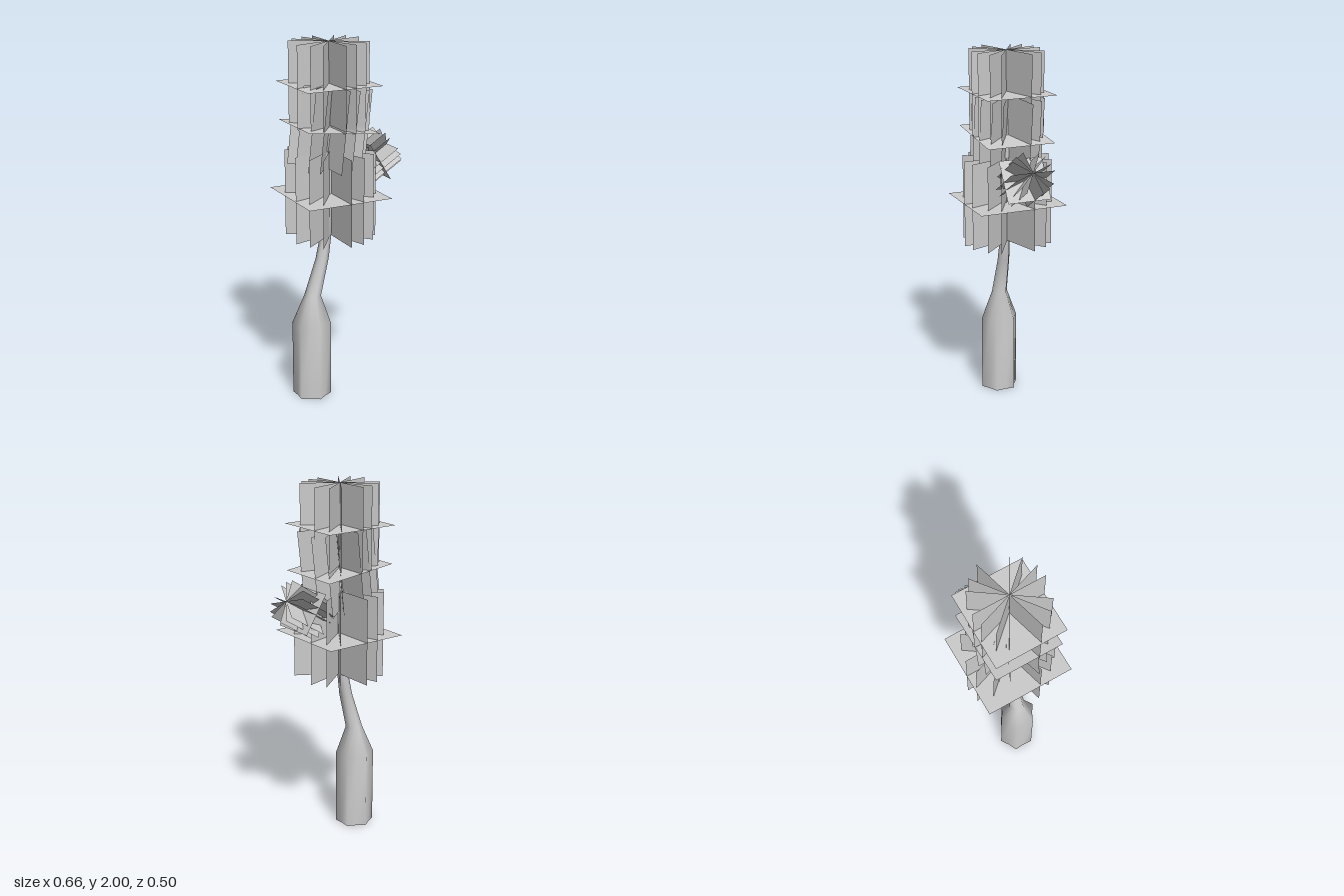
import * as THREE from 'three';

const bark = new THREE.MeshStandardMaterial({ color: 0xcccccc, side: THREE.DoubleSide });
const leaf = new THREE.MeshStandardMaterial({ color: 0xcccccc, side: THREE.DoubleSide });

// Open tube with a hexagonal, slightly fluted section; rings are [x, y, radius].
// tilt leans the rings about z, for limbs that run sideways.
function limb(name, rings, tilt = 0) {
  const sides = 12, pos = [], index = [];
  rings.forEach(([x, y, r], j) => {
    for (let i = 0; i < sides; i++) {
      const a = (i / sides) * Math.PI * 2 + Math.PI / 2;
      const rad = i % 2 ? r * 0.83 : r;
      const c = Math.cos(a) * rad;
      pos.push(x + c * Math.cos(tilt), y + c * Math.sin(tilt), Math.sin(a) * rad);
      if (j === 0) continue;
      const k = (i + 1) % sides, lo = (j - 1) * sides, hi = j * sides;
      index.push(lo + i, hi + i, lo + k, lo + k, hi + i, hi + k);
    }
  });
  const g = new THREE.BufferGeometry();
  g.setAttribute('position', new THREE.Float32BufferAttribute(pos, 3));
  g.setIndex(index);
  g.computeVertexNormals();
  const mesh = new THREE.Mesh(g, bark);
  mesh.name = name;
  return mesh;
}

// Foliage clump: a fan of upright cards around one axis, crossed by a flat card.
const fanAngles = [15, 37, 55, 90, 109, 132.5, 150];
function clump(name, x, y, halfX, halfZ, height, tilt = 0) {
  const group = new THREE.Group();
  group.name = name;
  for (const deg of fanAngles) {
    const a = THREE.MathUtils.degToRad(deg);
    const half = Math.hypot(halfX * Math.cos(a), halfZ * Math.sin(a));
    const card = new THREE.Mesh(new THREE.PlaneGeometry(2 * half, height), leaf);
    card.rotation.y = a;
    card.name = 'uprightLeafCard';
    group.add(card);
  }
  const flat = new THREE.Mesh(new THREE.PlaneGeometry(2 * halfX, 2 * halfZ), leaf);
  flat.rotation.x = -Math.PI / 2;
  flat.name = 'flatLeafCard';
  group.add(flat);
  group.position.set(x, y, 0);
  group.rotation.z = THREE.MathUtils.degToRad(tilt);
  return group;
}

export function createModel() {
  const tree = new THREE.Group();
  tree.name = 'tree';

  // Thick base, narrow neck and leaning upper stem
  tree.add(limb('trunk', [
    [-0.205, 0, 0.108], [-0.205, 0.43, 0.108], [-0.198, 0.59, 0.047],
    [-0.137, 0.8, 0.036], [-0.115, 0.93, 0.031], [-0.1, 1.17, 0.026],
    [-0.09, 1.45, 0.02], [-0.083, 1.75, 0.01],
  ]));
  tree.add(limb('sideBranch', [
    [-0.1, 1.14, 0.02], [0.05, 1.23, 0.018], [0.16, 1.34, 0.008],
  ], -0.9));

  // Foliage
  tree.add(clump('lowerFoliage', -0.085, 1.17, 0.245, 0.252, 0.48));
  tree.add(clump('middleFoliage', -0.088, 1.54, 0.213, 0.193, 0.45, -6.5));
  tree.add(clump('upperFoliage', -0.091, 1.775, 0.22, 0.2, 0.45));
  tree.add(clump('sideFoliage', 0.16, 1.34, 0.12, 0.125, 0.248, -58));

  return tree;
}
